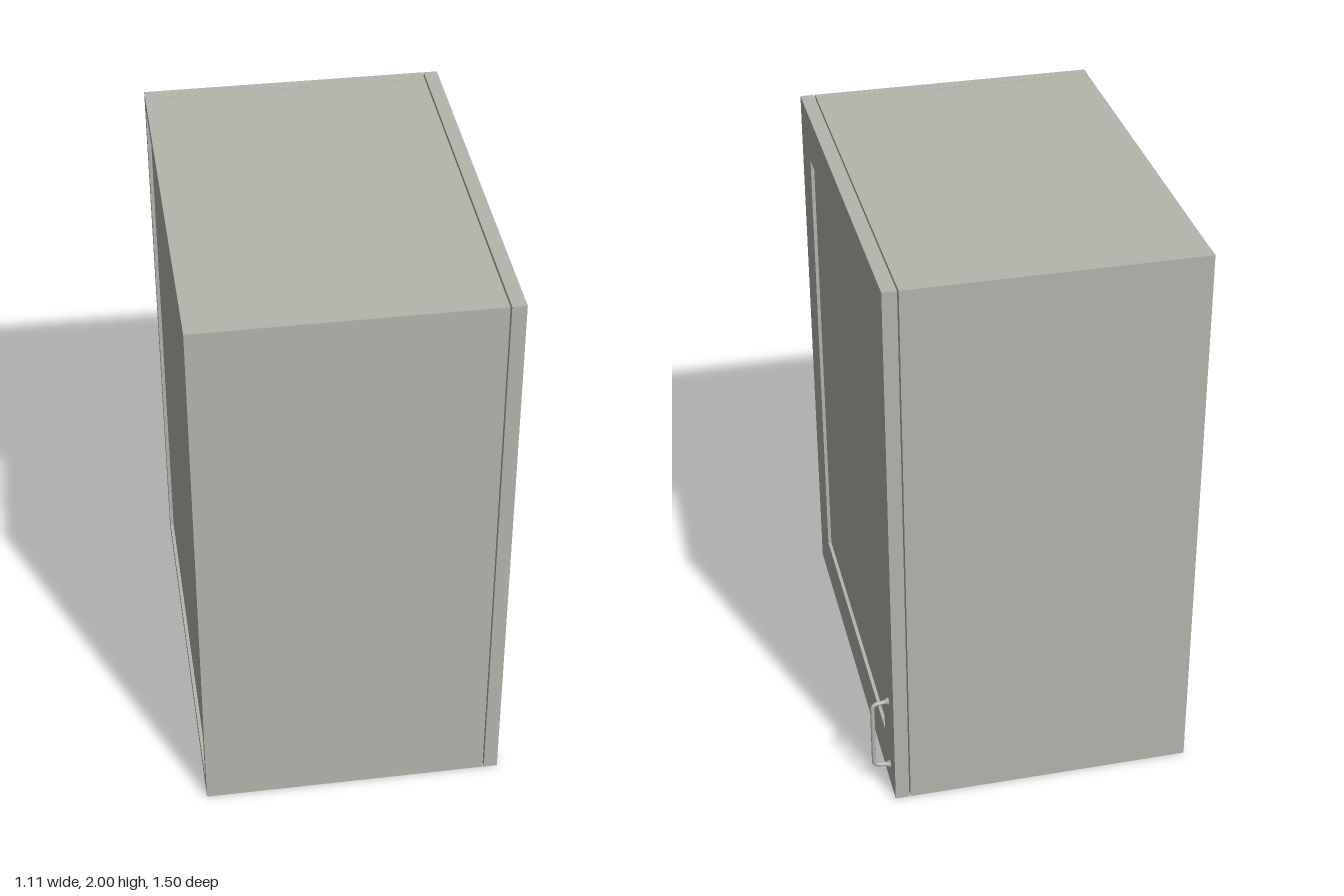
import * as THREE from 'three';

export function createModel() {
  const group = new THREE.Group();
  const paint = new THREE.MeshStandardMaterial({ color: 0xb4b5ad });
  paint.name = 'warm grey paint';

  const add = (name, geometry) => {
    const mesh = new THREE.Mesh(geometry, paint);
    mesh.name = name;
    group.add(mesh);
    return mesh;
  };
  // Box given by its lower and upper bounds on each axis
  const box = (name, x0, x1, y0, y1, z0, z1) =>
    add(name, new THREE.BoxGeometry(x1 - x0, y1 - y0, z1 - z0))
      .position.set((x0 + x1) / 2, (y0 + y1) / 2, (z0 + z1) / 2);

  // Carcass
  const back = -0.557, front = 0.438, half = 0.75, t = 0.048;
  box('leftSidePanel', back, front, 0, 2, half - t, half);
  box('rightSidePanel', back, front, 0, 2, -half, -half + t);
  box('topPanel', back, front, 2 - t, 1.999, -half + t, half - t);
  box('bottomPanel', back, front, 0.001, t, -half + t, half - t);
  box('backPanel', back + 0.012, back + 0.03, t, 2 - t, -half + t, half - t);

  // Door frame, a ring extruded through the door thickness
  const doorBack = 0.443, doorFront = 0.491;
  const rect = (path, x0, x1, y0, y1) => {
    path.moveTo(x0, y0);
    path.lineTo(x1, y0);
    path.lineTo(x1, y1);
    path.lineTo(x0, y1);
    path.closePath();
    return path;
  };
  const frame = rect(new THREE.Shape(), -half, half, 0, 2);
  frame.holes.push(rect(new THREE.Path(), -0.577, 0.577, 0.175, 1.828));
  const frameGeometry = new THREE.ExtrudeGeometry(frame, { depth: doorFront - doorBack, bevelEnabled: false });
  frameGeometry.rotateY(Math.PI / 2);
  add('doorFrame', frameGeometry).position.x = doorBack;

  // Recessed centre of the door
  box('doorPanel', doorBack + 0.008, doorFront - 0.012, 0.175, 1.828, -0.577, 0.577);

  // Bow handle with rounded corners
  const handleZ = -0.662, low = 0.085, high = 0.365, reach = 0.548, r = 0.025;
  const v = (x, y) => new THREE.Vector3(x, y, handleZ);
  const path = new THREE.CurvePath();
  path.add(new THREE.LineCurve3(v(doorFront, low), v(reach - r, low + 0.004)));
  path.add(new THREE.QuadraticBezierCurve3(v(reach - r, low + 0.004), v(reach, low + 0.006), v(reach, low + r)));
  path.add(new THREE.LineCurve3(v(reach, low + r), v(reach, high - r)));
  path.add(new THREE.QuadraticBezierCurve3(v(reach, high - r), v(reach, high - 0.006), v(reach - r, high - 0.004)));
  path.add(new THREE.LineCurve3(v(reach - r, high - 0.004), v(doorFront, high)));
  add('handleBar', new THREE.TubeGeometry(path, 80, 0.0075, 12));

  // Flared feet where the handle meets the door
  for (const y of [low, high]) {
    const foot = new THREE.CylinderGeometry(0.009, 0.014, 0.012, 20);
    foot.rotateZ(-Math.PI / 2);
    add('handleFoot', foot).position.set(doorFront + 0.006, y, handleZ);
  }

  return group;
}
